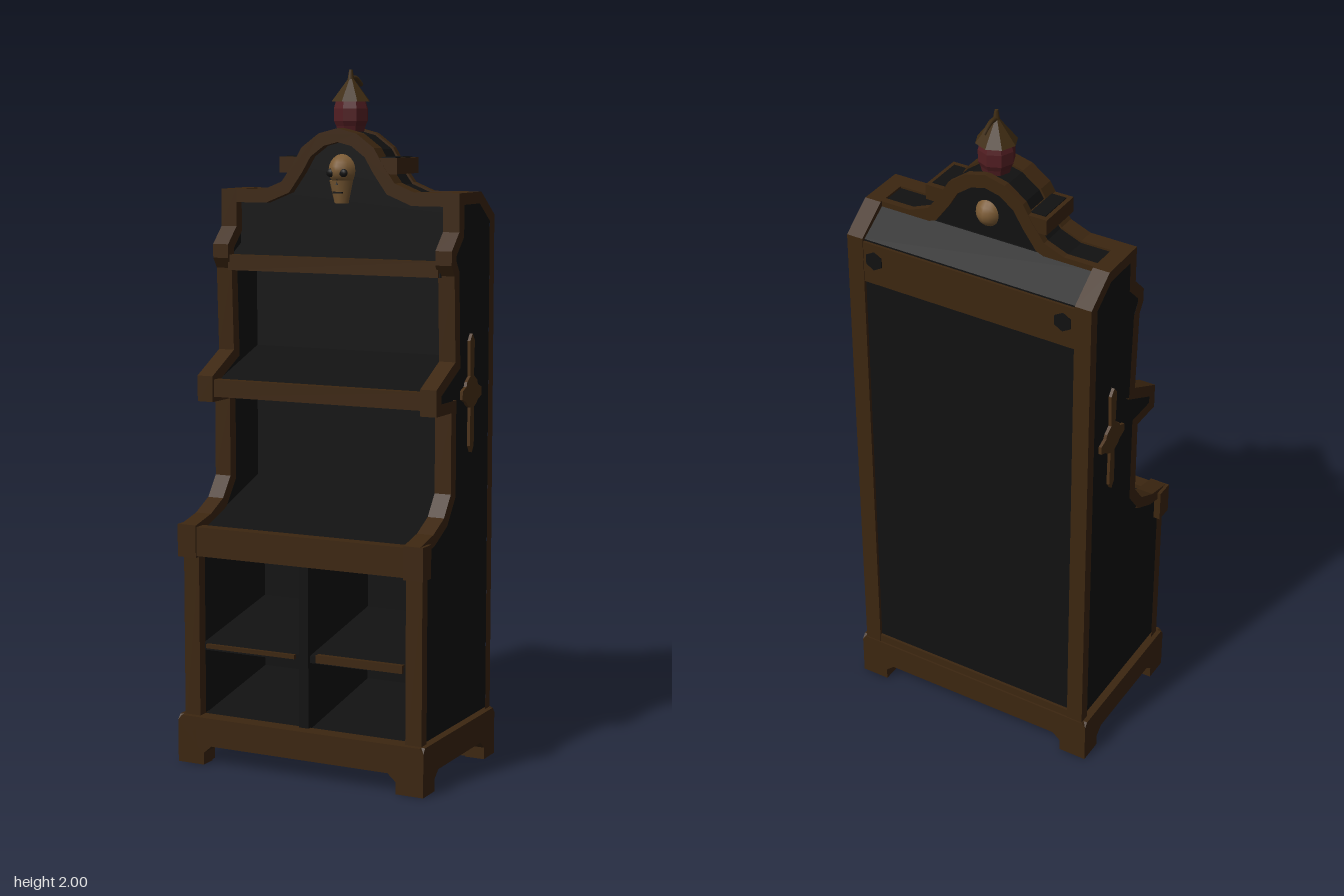
import * as THREE from 'three';

const mat = (name, color) => Object.assign(new THREE.MeshStandardMaterial({ color }), { name });

export function createModel() {
  const root = new THREE.Group();
  root.name = 'bookcase';
  const black = mat('blackWood', 0x111111);
  const brown = mat('brownTrim', 0x3c2610);
  const bronze = mat('bronze', 0x4a3016);
  const bone = mat('bone', 0x7a5a34);
  const red = mat('redGlass', 0x521e22);
  const cap = mat('lanternCap', 0x3f2c12);

  const add = (name, geo, material, x = 0, y = 0, z = 0, parent = root) => {
    const m = new THREE.Mesh(geo, material);
    m.name = name;
    m.position.set(x, y, z);
    parent.add(m);
    return m;
  };
  // box given by its limits
  const box = (name, material, x0, x1, y0, y1, z0, z1) =>
    add(name, new THREE.BoxGeometry(x1 - x0, y1 - y0, z1 - z0), material,
      (x0 + x1) / 2, (y0 + y1) / 2, (z0 + z1) / 2);
  const toShape = (pts) => new THREE.Shape(pts.map(([a, b]) => new THREE.Vector2(a, b)));
  // outline in x,y extruded from z0 to z1
  const slabZ = (shape, z0, z1) =>
    new THREE.ExtrudeGeometry(shape, { depth: z1 - z0, bevelEnabled: false }).translate(0, 0, z0);
  // outline in z,y extruded from x0 to x1
  const slabX = (shape, x0, x1) =>
    new THREE.ExtrudeGeometry(shape, { depth: x1 - x0, bevelEnabled: false })
      .rotateY(-Math.PI / 2).translate(x1, 0, 0);
  // moves a line sideways by d, with mitred corners
  const inset = (pts, d, closed) => pts.map((p, i) => {
    const n = pts.length;
    const normal = (a, b) => {
      const l = Math.hypot(b[0] - a[0], b[1] - a[1]);
      return [(b[1] - a[1]) / l, -(b[0] - a[0]) / l];
    };
    const before = i > 0 || closed ? normal(pts[(i + n - 1) % n], p) : null;
    const after = i < n - 1 || closed ? normal(p, pts[(i + 1) % n]) : null;
    const a = before || after, b = after || before;
    const k = d / (1 + a[0] * b[0] + a[1] * b[1]);
    return [p[0] + (a[0] + b[0]) * k, p[1] + (a[1] + b[1]) * k];
  });

  // side walls with a raised border
  const side = [
    [-0.245, 0.08], [-0.245, 1.59], [-0.15, 1.658], [0, 1.658], [0, 1.55], [0.05, 1.5],
    [0.05, 1.46], [0.03, 1.43], [0.02, 1.19], [0.145, 1.125], [0.145, 1.05], [0.045, 1.05],
    [0.045, 0.82], [0.09, 0.76], [0.16, 0.725], [0.245, 0.705], [0.245, 0.61], [0.23, 0.61], [0.23, 0.08],
  ];
  const sideInner = inset(side, 0.033, true);
  const border = toShape(side);
  border.holes.push(toShape(sideInner));
  const panel = toShape(inset(side, 0.01, true));
  const ornament = toShape([
    [0, 0.17], [0.016, 0.15], [0.012, 0.05], [0.035, 0.035], [0.04, 0.022], [0.066, 0.012], [0.066, -0.012],
    [0.04, -0.022], [0.03, -0.032], [0.012, -0.04], [0.014, -0.15], [0, -0.17], [-0.014, -0.15], [-0.012, -0.04],
    [-0.03, -0.032], [-0.04, -0.022], [-0.066, -0.012], [-0.066, 0.012], [-0.04, 0.022], [-0.035, 0.035],
    [-0.012, 0.05], [-0.016, 0.15],
  ]);
  for (const s of [-1, 1]) {
    const span = (a, b) => (s > 0 ? [a, b] : [-b, -a]);
    add('sideTrim', slabX(border, ...span(0.33, 0.38)), brown);
    add('sidePanel', slabX(panel, ...span(0.335, 0.37)), black);
    add('sideOrnament', slabX(ornament, ...span(0.369, 0.379)), bronze, 0, 1.09, -0.1);
    box('ledgeEnd', brown, ...span(0.33, 0.39), 0.61, 0.705, 0.195, 0.248);
  }

  // carcass: back, sloping shelves and cabinet floor in one section
  add('carcass', slabX(toShape([
    [-0.235, 0.06], [-0.235, 1.585], [-0.14, 1.645], [-0.035, 1.645], [-0.035, 1.5],
    [0.035, 1.46], [0.035, 1.425], [-0.13, 1.425], [-0.13, 1.19], [0.13, 1.1], [0.13, 1.07], [-0.13, 1.07],
    [-0.13, 0.8], [0.22, 0.68], [0.22, 0.62], [-0.17, 0.62], [-0.17, 0.42], [0.2, 0.35], [0.2, 0.33],
    [-0.17, 0.33], [-0.17, 0.2], [0.2, 0.135], [0.2, 0.06],
  ]), -0.34, 0.34), black);
  box('divider', black, -0.015, 0.015, 0.13, 0.62, -0.17, 0.21);

  // shelf rails
  box('topRail', brown, -0.335, 0.335, 1.425, 1.47, 0.015, 0.042);
  box('middleRail', brown, -0.34, 0.34, 1.065, 1.115, 0.11, 0.138);
  box('ledgeRail', brown, -0.35, 0.35, 0.615, 0.7, 0.205, 0.243);
  box('cabinetRail', brown, 0.04, 0.31, 0.335, 0.358, 0.195, 0.212);
  box('cabinetRail', brown, -0.32, -0.03, 0.338, 0.35, 0.195, 0.212);

  // back frame
  box('backTopRail', brown, -0.335, 0.335, 1.455, 1.58, -0.243, -0.225);
  box('backBottomRail', brown, -0.335, 0.335, 0.12, 0.165, -0.243, -0.225);
  for (const s of [-1, 1])
    add('backNotch', new THREE.CylinderGeometry(0.028, 0.028, 0.006, 6).rotateX(Math.PI / 2),
      black, s * 0.295, 1.53, -0.244);

  // plinth with cut-out feet
  const plinth = (half, foot) => {
    const pts = [[half, 0], [half, 0.125], [half - 0.012, 0.14]];
    const cut = [[half - foot - 0.025, 0.057], [half - foot, 0.035], [half - foot, 0]];
    const flip = (list) => list.map(([x, y]) => [-x, y]).reverse();
    return toShape([...pts, ...flip(pts), ...flip(cut), ...cut]);
  };
  const frontPlinth = plinth(0.394, 0.085), sidePlinth = plinth(0.248, 0.075);
  for (const s of [-1, 1]) {
    add('plinthRail', slabZ(frontPlinth, -0.025, 0.025), brown, 0, 0, s * 0.223);
    add('plinthSide', slabX(sidePlinth, -0.03, 0.03), brown, s * 0.364);
    for (const t of [-1, 1])
      add('foot', new THREE.BoxGeometry(0.08, 0.06, 0.07), brown, s * 0.353, 0.031, t * 0.212);
  }

  // arched pediment
  const half = [[0.335, 1.658], [0.24, 1.658], [0.18, 1.682], [0.145, 1.73], [0.115, 1.78], [0.06, 1.82]];
  const arch = [...half.map(([x, y]) => [-x, y]), [0, 1.835], ...[...half].reverse()];
  const archBand = toShape([...arch, ...inset(arch, 0.038, false).reverse()]);
  const archBody = toShape([[-0.335, 1.6], ...inset(arch, 0.006, false), [0.335, 1.6]]);
  add('pedimentPanel', slabZ(archBody, -0.135, -0.03), black);
  add('pedimentFrontTrim', slabZ(archBand, -0.05, 0), brown);
  add('pedimentBackTrim', slabZ(archBand, -0.145, -0.125), brown);
  for (const s of [-1, 1]) {
    add('pedimentBlock', new THREE.BoxGeometry(0.07, 0.045, 0.143), brown, s * 0.152, 1.73, -0.0725);
    add('blockTop', new THREE.BoxGeometry(0.045, 0.006, 0.11), black, s * 0.152, 1.752, -0.073);
  }

  // skull set through the pediment
  const skull = new THREE.Group();
  skull.name = 'skull';
  skull.position.set(0, 1.715, -0.075);
  root.add(skull);
  add('cranium', new THREE.SphereGeometry(1, 20, 14).scale(0.05, 0.055, 0.087), bone, 0, 0, 0, skull);
  add('jaw', new THREE.CylinderGeometry(0.037, 0.022, 0.065, 10), bone, 0, -0.06, 0.045, skull);
  add('nose', new THREE.ConeGeometry(0.007, 0.02, 3), black, 0, -0.03, 0.078, skull);
  add('mouth', new THREE.BoxGeometry(0.03, 0.005, 0.008), black, 0, -0.062, 0.073, skull);
  for (const s of [-1, 1])
    add('eyeSocket', new THREE.SphereGeometry(1, 10, 8).scale(0.013, 0.012, 0.008), black,
      s * 0.021, -0.006, 0.078, skull);

  // lantern on top
  const lantern = new THREE.Group();
  lantern.name = 'lantern';
  lantern.position.set(0, 1.825, -0.085);
  root.add(lantern);
  const glass = [[0, 0], [0.04, 0], [0.044, 0.015], [0.051, 0.03], [0.051, 0.065], [0.044, 0.09], [0, 0.09]];
  const lathe = new THREE.LatheGeometry(glass.map(([r, y]) => new THREE.Vector2(r, y)), 8)
    .toNonIndexed();
  lathe.computeVertexNormals();
  add('lanternGlass', lathe, red, 0, 0, 0, lantern);
  const roof = new THREE.ConeGeometry(0.058, 0.075, 8).toNonIndexed();
  roof.computeVertexNormals();
  add('lanternRoof', roof, cap, 0, 0.122, 0, lantern);
  add('lanternTip', new THREE.CylinderGeometry(0.005, 0.01, 0.03, 6), cap, 0, 0.16, 0, lantern);
  const hook = new THREE.CatmullRomCurve3([[0.15, 0], [0.152, -0.025], [0.142, -0.05], [0.132, -0.066]]
    .map(([y, z]) => new THREE.Vector3(0, y, z)));
  add('lanternHook', new THREE.TubeGeometry(hook, 8, 0.007, 6), cap, 0, 0, 0, lantern);

  return root;
}
